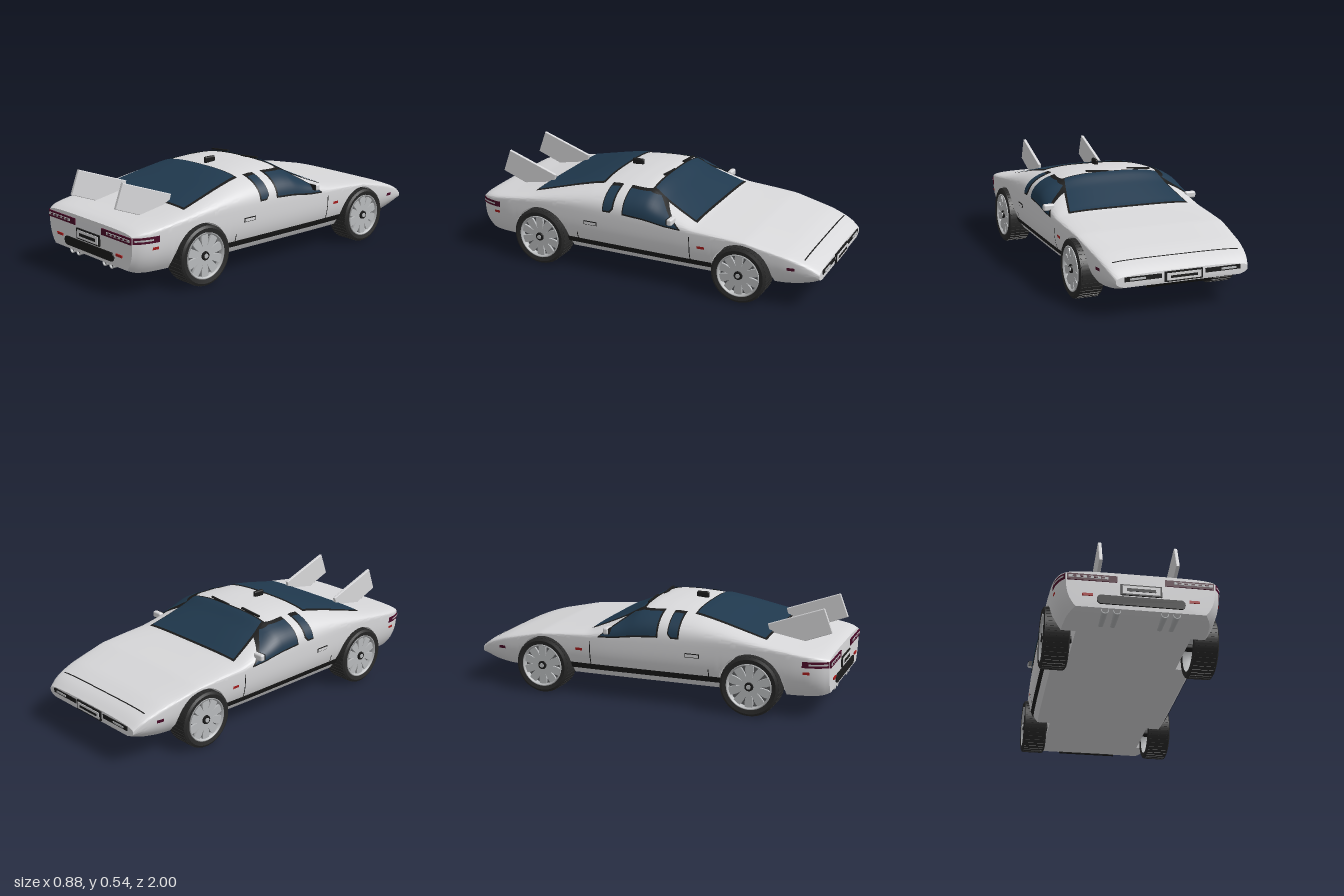
import * as THREE from 'three';
import { toCreasedNormals } from 'three/addons/utils/BufferGeometryUtils.js';
import { RoundedBoxGeometry } from 'three/addons/geometries/RoundedBoxGeometry.js';

const mat = (name, color) => new THREE.MeshStandardMaterial({ name, color, side: THREE.DoubleSide });
const paint = mat('silverPaint', 0xd8d8da), glass = mat('blueGlass', 0x20394e), black = mat('blackTrim', 0x1b1b1b);
const rubber = mat('tyreRubber', 0x292929), alloy = mat('alloy', 0xb9bbbd), shade = mat('darkAlloy', 0x5c5e60);
const maroon = mat('maroonLens', 0x4a0a28), red = mat('redLens', 0xa81c1c);

// Body stations: z, crown height, belt height, half width, underside height, roundness
const STATIONS = [
  [-0.985, 0.215, 0.185, 0.345, 0.16, 3], [-0.96, 0.24, 0.21, 0.36, 0.147, 3.5], [-0.9, 0.266, 0.235, 0.375, 0.133, 4],
  [-0.82, 0.292, 0.262, 0.387, 0.122, 4], [-0.6, 0.335, 0.315, 0.405, 0.115, 4], [-0.45, 0.35, 0.322, 0.41, 0.115, 4],
  [-0.31, 0.366, 0.325, 0.414, 0.115, 3.6], [-0.22, 0.41, 0.325, 0.415, 0.115, 3], [-0.12, 0.459, 0.325, 0.415, 0.115, 2.8],
  [-0.05, 0.502, 0.325, 0.415, 0.115, 2.8], [0, 0.511, 0.325, 0.415, 0.115, 2.8], [0.1, 0.511, 0.328, 0.415, 0.115, 2.8],
  [0.2, 0.504, 0.33, 0.415, 0.115, 2.8], [0.3, 0.489, 0.335, 0.415, 0.115, 2.9], [0.4, 0.464, 0.34, 0.415, 0.115, 3.1],
  [0.5, 0.434, 0.342, 0.415, 0.115, 3.5], [0.65, 0.392, 0.34, 0.414, 0.115, 4], [0.8, 0.364, 0.33, 0.411, 0.116, 4],
  [0.9, 0.35, 0.315, 0.402, 0.118, 4], [0.965, 0.339, 0.305, 0.38, 0.125, 4], [0.985, 0.325, 0.295, 0.355, 0.14, 4]];
const WHEELS = [{ z: -0.58, r: 0.151, x: 0.366 }, { z: 0.59, r: 0.157, x: 0.373 }];

function raw(z) {
  z = THREE.MathUtils.clamp(z, -0.985, 0.985);
  let i = 0;
  while (i < STATIONS.length - 2 && STATIONS[i + 1][0] < z) i++;
  const a = STATIONS[i], b = STATIONS[i + 1], t = (z - a[0]) / (b[0] - a[0]);
  return a.map((v, k) => v + (b[k] - v) * t);
}
// Smoothed section at z
function at(z) {
  const s = [raw(z - 0.02), raw(z), raw(z), raw(z + 0.02)];
  const [, top, belt, w, bot, n] = s[0].map((_, k) => s.reduce((sum, r) => sum + r[k], 0) / 4);
  return { top, belt, w, bot, n };
}
// Half width of the body at a height, and height of its upper surface at a width
function xAt(z, y) {
  const s = at(z);
  if (y < s.belt) return s.w * (1 - 0.13 * Math.pow((s.belt - y) / (s.belt - s.bot), 3));
  return s.w * Math.pow(Math.max(0, 1 - Math.pow((y - s.belt) / (s.top - s.belt), s.n)), 1 / s.n);
}
function yAt(z, x) {
  const s = at(z);
  return s.belt + (s.top - s.belt) * Math.pow(Math.max(0, 1 - Math.pow(Math.abs(x) / s.w, s.n)), 1 / s.n);
}

// Grid surface from a rule; closed end rows may be collapsed by the rule
function grid(rows) {
  const pos = rows.flat(2), idx = [], n = rows[0].length;
  for (let i = 0; i < rows.length - 1; i++) for (let j = 0; j < n - 1; j++) {
    const a = i * n + j, c = a + n;
    idx.push(a, a + 1, c, a + 1, c + 1, c);
  }
  const g = new THREE.BufferGeometry();
  g.setAttribute('position', new THREE.Float32BufferAttribute(pos, 3));
  g.setIndex(idx);
  g.computeVertexNormals();
  return g;
}

// Body shell with open wheel wells
function bodyGeometry() {
  const zs = [];
  for (let i = 0; i <= 100; i++) zs.push(-0.985 + 1.97 * i / 100);
  for (const w of WHEELS) for (let i = 0; i <= 24; i++) zs.push(w.z - 0.1585 * Math.cos(Math.PI * i / 24));
  zs.sort((a, b) => a - b);
  const rows = zs.map(z => {
    const s = at(z);
    let arch = s.bot;
    for (const w of WHEELS) {
      const d = (w.r + 0.008) ** 2 - (z - w.z) ** 2;
      if (d > 0) arch = Math.max(arch, Math.min(w.r + Math.sqrt(d), s.belt - 0.006));
    }
    const half = [[0, s.bot, z], [0.285, s.bot, z], [0.285, arch, z]];
    for (let k = 0; k < 10; k++) {
      const y = arch + (s.belt - arch) * k / 10;
      half.push([xAt(z, y), y, z]);
    }
    for (let k = 0; k <= 26; k++) {
      const a = Math.PI / 2 * k / 26;
      half.push([k === 26 ? 0 : s.w * Math.pow(Math.cos(a), 2 / s.n), s.belt + (s.top - s.belt) * Math.pow(Math.sin(a), 2 / s.n), z]);
    }
    return [...half, ...half.slice(0, -1).reverse().map(([x, y, q]) => [-x, y, q])];
  });
  const cap = (row, y, z) => row.map(() => [0, y, z]);
  return toCreasedNormals(grid([cap(rows[0], 0.19, -0.99), ...rows, cap(rows[0], 0.23, 0.989)]), 0.55);
}

export function createModel() {
  const car = new THREE.Group();
  car.name = 'sportsCar';
  const add = (name, geo, m, x = 0, y = 0, z = 0, parent = car) => {
    const mesh = new THREE.Mesh(geo, m);
    mesh.name = name;
    mesh.position.set(x, y, z);
    parent.add(mesh);
    return mesh;
  };
  const box = (name, m, w, h, d, x, y, z) => add(name, new THREE.BoxGeometry(w, h, d), m, x, y, z);
  const span = (n, f) => Array.from({ length: n + 1 }, (_, i) => f(i / n));
  // Plate on the upper surface: z range and half widths (or an x centre)
  const topPlate = (name, m, z0, z1, h0, h1, lift) => add(name, grid(span(20, u => {
    const z = z0 + (z1 - z0) * u, h = h0 + (h1 - h0) * u;
    return span(24, v => [h * (2 * v - 1), yAt(z, h * (2 * v - 1)) + lift, z]);
  })), m);
  // Plate on both flanks: outline as [z, low, high] columns
  const sidePlate = (name, m, cols, lift) => {
    for (const s of [1, -1]) add(name, grid(span(24, u => {
      const f = u * (cols.length - 1), i = Math.min(cols.length - 2, Math.floor(f));
      const [z, lo, hi] = cols[i].map((v, k) => v + (cols[i + 1][k] - v) * (f - i));
      return span(10, v => {
        const y = lo + (hi - lo) * v;
        return [s * (xAt(z, y) + lift), y + (y > 0.33 ? lift * 0.5 : 0), z];
      });
    })), m);
  };
  const strip = (name, m, z0, z1, y0, y1, lift = 0.004) => sidePlate(name, m, [[z0, y0, y1], [z1, y0, y1]], lift);

  add('body', bodyGeometry(), paint);

  // Glazing with black surrounds
  topPlate('windscreenTrim', black, -0.315, -0.03, 0.342, 0.278, 0.004);
  topPlate('windscreen', glass, -0.305, -0.042, 0.33, 0.268, 0.008);
  topPlate('rearWindowTrim', black, 0.252, 0.655, 0.288, 0.345, 0.004);
  topPlate('rearWindow', glass, 0.262, 0.645, 0.276, 0.333, 0.008);
  sidePlate('doorWindowTrim', black, [[-0.25, 0.333, 0.338], [-0.155, 0.338, 0.415], [-0.09, 0.348, 0.468], [-0.03, 0.355, 0.484], [0.088, 0.362, 0.487]], 0.004);
  sidePlate('doorWindow', glass, [[-0.235, 0.34, 0.343], [-0.15, 0.346, 0.408], [-0.085, 0.356, 0.459], [-0.03, 0.363, 0.476], [0.08, 0.37, 0.479]], 0.008);
  sidePlate('quarterWindowTrim', black, [[0.14, 0.385, 0.485], [0.16, 0.363, 0.485], [0.205, 0.363, 0.482]], 0.004);
  sidePlate('quarterWindow', glass, [[0.147, 0.388, 0.477], [0.163, 0.371, 0.477], [0.198, 0.371, 0.474]], 0.008);

  // Flank details
  strip('sillStripe', black, -0.42, 0.43, 0.147, 0.18);
  strip('doorFrontSeam', black, -0.303, -0.298, 0.18, 0.31, 0.003);
  strip('doorRearSeam', black, 0.362, 0.367, 0.18, 0.22, 0.003);
  strip('handleSurround', black, 0.238, 0.318, 0.274, 0.297);
  strip('doorHandle', paint, 0.243, 0.313, 0.278, 0.293, 0.008);
  strip('frontSideMarker', red, -0.385, -0.345, 0.253, 0.267);
  strip('rearSideMarker', red, 0.86, 0.895, 0.242, 0.256);
  strip('noseMarker', maroon, -0.865, -0.825, 0.212, 0.228);
  strip('tailLightWrap', maroon, 0.855, 0.985, 0.278, 0.31);
  strip('tailLightWrapStrip', alloy, 0.89, 0.98, 0.29, 0.299, 0.007);
  topPlate('bonnetSeam', black, -0.904, -0.898, 0.335, 0.335, 0.003);

  // Wide rounded plate facing along z
  const pill = (name, m, w, h, y, z) => {
    const s = new THREE.Shape(), r = h * 0.45, a = w / 2 - r, b = h / 2 - r;
    s.absarc(a, b, r, 0, Math.PI / 2); s.absarc(-a, b, r, Math.PI / 2, Math.PI);
    s.absarc(-a, -b, r, Math.PI, Math.PI * 1.5); s.absarc(a, -b, r, Math.PI * 1.5, Math.PI * 2);
    add(name, new THREE.ExtrudeGeometry(s, { depth: 0.008, bevelEnabled: false }), m, 0, y, z);
  };
  // Tail panel
  pill('rearGrille', black, 0.426, 0.046, 0.179, 0.986);
  box('rearPlateFrame', black, 0.2, 0.056, 0.009, 0, 0.238, 0.991);
  box('rearPlate', paint, 0.182, 0.042, 0.004, 0, 0.238, 0.996);
  box('rearPlateBar', black, 0.14, 0.016, 0.003, 0, 0.237, 0.9985);
  // Nose panel
  box('nosePlateFrame', black, 0.2, 0.05, 0.01, 0, 0.19, -0.99);
  box('nosePlate', paint, 0.18, 0.036, 0.004, 0, 0.19, -0.996);
  box('nosePlateBar', black, 0.14, 0.012, 0.003, 0, 0.19, -0.9985);
  const intake = box('noseIntake', black, 0.34, 0.05, 0.008, 0, 0.144, -0.951);
  intake.rotation.x = -1.0;

  // Fin outline in z and y
  const fin = new THREE.Shape([[0.91, 0.535], [0.62, 0.432], [0.635, 0.38], [0.81, 0.36], [0.955, 0.415]].map(p => new THREE.Vector2(-p[0], p[1])));
  const finGeo = new THREE.ExtrudeGeometry(fin, { depth: 0.01, bevelThickness: 0.004, bevelSize: 0.003, bevelSegments: 2 });
  finGeo.translate(0, 0, -0.005).rotateY(Math.PI / 2);

  for (const s of [1, -1]) {
    box('tailLight', maroon, 0.24, 0.033, 0.008, s * 0.236, 0.292, 0.988);
    box('tailLightStrip', alloy, 0.19, 0.013, 0.003, s * 0.255, 0.293, 0.9935);
    for (let i = 0; i < 5; i++) box('tailLightCell', maroon, 0.018, 0.008, 0.002, s * (0.185 + i * 0.034), 0.293, 0.9955);
    box('reflector', red, 0.05, 0.012, 0.006, s * 0.258, 0.2, 0.99);
    box('noseLamp', black, 0.19, 0.022, 0.008, s * 0.21, 0.198, -0.987);
    box('noseLampLens', alloy, 0.08, 0.01, 0.003, s * 0.24, 0.198, -0.9925);
    add('fin', finGeo, paint, s * 0.19);
    for (const x of [0.115, 0.173]) {
      add('exhaustPipe', new THREE.CylinderGeometry(0.018, 0.018, 0.14, 20, 1, true).rotateX(Math.PI / 2), alloy, s * x, 0.13, 0.905);
      add('exhaustLip', new THREE.TorusGeometry(0.017, 0.003, 8, 20), alloy, s * x, 0.13, 0.975);
      add('exhaustBore', new THREE.CircleGeometry(0.017, 20), shade, s * x, 0.13, 0.965);
    }
    // Door mirror
    add('mirrorShell', new RoundedBoxGeometry(0.062, 0.036, 0.03, 3, 0.01), paint, s * 0.41, 0.377, -0.197);
    box('mirrorGlass', black, 0.05, 0.03, 0.004, s * 0.412, 0.377, -0.181);
    // Roof edge wiper
    const wiper = box('wiper', black, 0.135, 0.008, 0.012, s * 0.12 - 0.05, 0.512, -0.03);
    wiper.rotation.z = 0.08;
  }
  add('roofAerial', new RoundedBoxGeometry(0.02, 0.035, 0.07, 3, 0.009), black, 0, 0.518, 0.195);

  // Wheels: outer face towards +x, mirrored by half a turn
  for (const w of WHEELS) for (const s of [1, -1]) {
    const wheel = new THREE.Group();
    wheel.name = w.z < 0 ? 'frontWheel' : 'rearWheel';
    wheel.position.set(s * w.x, w.r, w.z);
    if (s < 0) wheel.rotation.y = Math.PI;
    car.add(wheel);
    const r = w.r, rim = r * 0.77, lathe = pts => new THREE.LatheGeometry(pts.map(p => new THREE.Vector2(...p)), 48).rotateZ(-Math.PI / 2);
    add('tyre', toCreasedNormals(lathe([[rim, -0.062], [r - 0.014, -0.067], [r - 0.003, -0.06], [r - 0.002, 0.06], [r - 0.014, 0.067], [rim, 0.062], [rim - 0.004, 0.04]]), 0.6), rubber, 0, 0, 0, wheel);
    for (let i = 0; i < 40; i++) {
      const a = i / 40 * Math.PI * 2;
      add('treadBlock', new THREE.BoxGeometry(0.11, 0.004, 0.014), rubber, 0, Math.cos(a) * (r - 0.002), Math.sin(a) * (r - 0.002), wheel).rotation.x = a;
    }
    add('rimBarrel', lathe([[rim, -0.062], [rim - 0.008, -0.03], [rim - 0.008, 0.05], [rim, 0.064], [rim - 0.007, 0.066], [rim - 0.012, 0.05]]), alloy, 0, 0, 0, wheel);
    add('brakeDisc', new THREE.CylinderGeometry(rim - 0.006, rim - 0.006, 0.012, 40).rotateZ(Math.PI / 2), shade, 0.025, 0, 0, wheel);
    // Petal spokes
    const petal = new THREE.Shape();
    petal.moveTo(-0.007, 0.015);
    petal.quadraticCurveTo(-0.03, rim * 0.8, -0.017, rim - 0.006);
    petal.lineTo(0.017, rim - 0.006);
    petal.quadraticCurveTo(0.03, rim * 0.8, 0.007, 0.015);
    const petalGeo = new THREE.ExtrudeGeometry(petal, { depth: 0.012, bevelEnabled: false, curveSegments: 6 }).rotateY(Math.PI / 2);
    for (let i = 0; i < 10; i++) add('spoke', petalGeo, alloy, 0.044, 0, 0, wheel).rotation.x = i * Math.PI / 5;
    add('hubCap', new THREE.CylinderGeometry(0.022, 0.024, 0.012, 24).rotateZ(-Math.PI / 2), black, 0.058, 0, 0, wheel);
    add('hubCentre', new THREE.CylinderGeometry(0.012, 0.012, 0.004, 16).rotateZ(-Math.PI / 2), alloy, 0.066, 0, 0, wheel);
    add('axleStub', new THREE.CylinderGeometry(0.02, 0.02, 0.1, 12).rotateZ(Math.PI / 2), black, -0.06, 0, 0, wheel);
  }
  return car;
}
